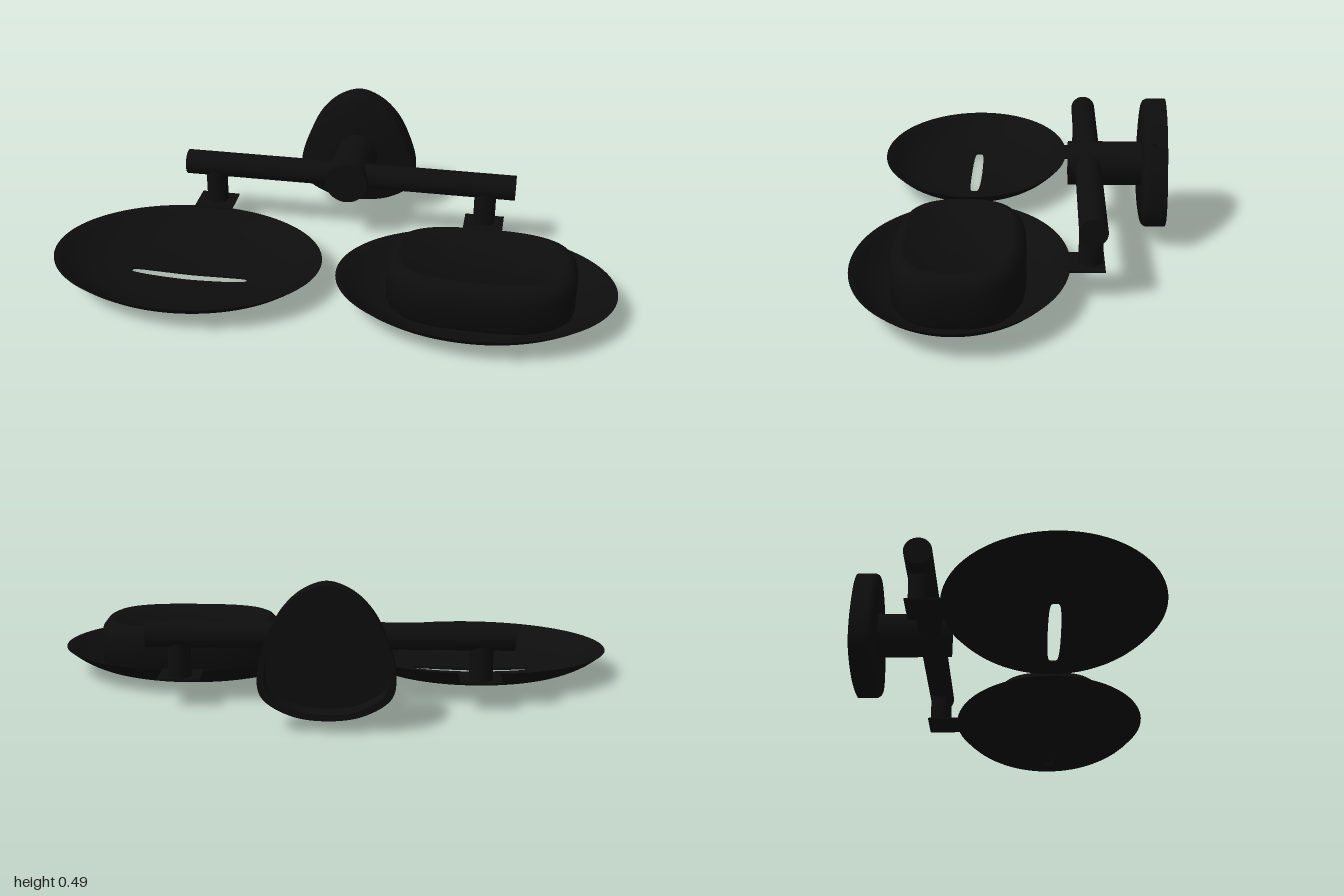
import * as THREE from 'three';
import { toCreasedNormals } from 'three/addons/utils/BufferGeometryUtils.js';

const black = new THREE.MeshStandardMaterial({ color: 0x0d0d0d, side: THREE.DoubleSide });
black.name = 'matt black';

// Skin made of `levels` closed rings of `n` points; skip(i, j) leaves a quad open
function loft(n, levels, point, skip = () => false) {
  const pos = [], idx = [];
  for (let j = 0; j < levels; j++)
    for (let i = 0; i < n; i++) pos.push(...point(i, j));
  for (let j = 0; j < levels - 1; j++)
    for (let i = 0; i < n; i++) {
      if (skip(i, j)) continue;
      const k = (i + 1) % n;
      const a = j * n + i, b = a + n, c = j * n + k, d = c + n;
      idx.push(a, b, c, c, b, d);
    }
  const g = new THREE.BufferGeometry();
  g.setAttribute('position', new THREE.Float32BufferAttribute(pos, 3));
  g.setIndex(idx);
  return toCreasedNormals(g, 0.75);
}

const power = (v, p) => Math.sign(v) * Math.abs(v) ** p;

// Shallow oval dish with a drain slot: underside outwards, then the inside back to the slot
function dishGeometry() {
  const RX = 0.486, RZ = 0.357, N = 96, STEPS = 14, THICK = 0.008;
  const section = [[0, 0], [0.35, 0.007], [0.6, 0.018], [0.76, 0.036], [0.9, 0.068], [1, 0.104]];
  const curve = new THREE.CatmullRomCurve3(section.map(([r, y]) => new THREE.Vector3(r, y, 0)));
  const samples = curve.getPoints(80);
  const height = (r) => {
    const k = samples.findIndex((p) => p.x >= r - 1e-6);
    if (k <= 0) return k < 0 ? 0.104 : 0;
    const a = samples[k - 1], b = samples[k];
    return a.y + (b.y - a.y) * (r - a.x) / (b.x - a.x);
  };
  const levels = 2 * STEPS + 3;
  return loft(N, levels, (i, j) => {
    const th = i / N * Math.PI * 2, c = Math.cos(th), s = Math.sin(th);
    const inside = j > STEPS;
    const t = j === levels - 1 ? 0 : (inside ? 2 * STEPS + 1 - j : j) / STEPS;
    const grow = inside && t === 1 ? 0.985 : 1;
    const x = THREE.MathUtils.lerp(0.215 * c, RX * c * grow, t);
    const z = THREE.MathUtils.lerp(0.021 * power(s, 0.35), RZ * s * grow, t);
    const lift = j === levels - 1 || !inside ? 0 : t === 1 ? 0.004 : THICK;
    return [x, Math.min(0.105, height(Math.min(1, Math.hypot(x / RX, z / RZ))) + lift), z];
  });
}

// Rounded soap bar with a shallow recessed top
function soapGeometry() {
  const rows = [[1, 0.02], [0.06, 0.02], [0.02, 0.03], [0, 0.055], [0, 0.165], [0.005, 0.185],
    [0.018, 0.202], [0.035, 0.21], [0.045, 0.21], [0.052, 0.205], [1, 0.205]];
  const N = 80;
  return loft(N, rows.length, (i, j) => {
    const [inset, y] = rows[j], th = i / N * Math.PI * 2;
    const hx = inset === 1 ? 0 : 0.325 - inset, hz = inset === 1 ? 0 : 0.215 - inset;
    return [hx * power(Math.cos(th), 0.7), y, hz * power(Math.sin(th), 0.7)];
  });
}

// Hollow wall plate, a rounded triangle with a small screw hole in each side
function wallPlateGeometry() {
  const half = [[0.08, 0.462], [0.145, 0.4], [0.192, 0.31], [0.222, 0.2], [0.21, 0.12], [0.12, 0.06]];
  const points = [[0, 0.49], ...half, [0, 0.042], ...half.slice().reverse().map(([x, y]) => [-x, y])];
  const outline = new THREE.CatmullRomCurve3(
    points.map(([x, y]) => new THREE.Vector3(x, y, 0)), true, 'centripetal');
  outline.arcLengthDivisions = 800;
  const N = 96, CY = 0.25;
  const ring = Array.from({ length: N }, (_, i) => outline.getPointAt(i / N));
  let hole = 0, best = 1;
  for (let i = 0; i < N / 2; i++) {
    const d = Math.abs((ring[i].y + ring[i + 1].y) / 2 - 0.385);
    if (d < best) { best = d; hole = i; }
  }
  const rows = [[0, -0.46], [0.9, -0.46], [0.9, -0.47], [0.9, -0.488], [0.9, -0.525], [1, -0.525],
    [1, -0.488], [1, -0.47], [1, -0.459], [0.975, -0.449], [0.94, -0.445], [0, -0.445]];
  return loft(N, rows.length, (i, j) => {
    const [s, z] = rows[j], p = ring[i];
    return [p.x * s, CY + (p.y - CY) * s, z];
  }, (i, j) => (j === 2 || j === 6) && (i === hole || i === N - 1 - hole));
}

export function createModel() {
  const model = new THREE.Group();
  model.name = 'doubleSoapDishHolder';
  const add = (name, geometry, x, y, z) => {
    const mesh = new THREE.Mesh(geometry, black);
    mesh.name = name;
    mesh.position.set(x, y, z);
    model.add(mesh);
    return mesh;
  };

  // Wall mount
  add('wallPlate', wallPlateGeometry(), 0, 0, 0);
  add('wallPost', new THREE.CylinderGeometry(0.078, 0.078, 0.262, 48), 0, 0.252, -0.318).rotation.x = Math.PI / 2;
  add('crossBar', new THREE.CylinderGeometry(0.046, 0.046, 1.244, 40), 0, 0.255, -0.258).rotation.z = Math.PI / 2;

  // Hangers and dishes, mirrored left and right
  const dish = dishGeometry();
  for (const [side, s] of [['left', 1], ['right', -1]]) {
    add(side + 'Hanger', new THREE.CylinderGeometry(0.04, 0.04, 0.15, 32), s * 0.513, 0.18, -0.255);
    add(side + 'Tab', new THREE.BoxGeometry(0.145, 0.006, 0.12), s * 0.513, 0.104, -0.24);
    add(side + 'Dish', dish, s * 0.514, 0, 0.167);
  }

  add('soapBar', soapGeometry(), 0.535, 0, 0.167);
  return model;
}
